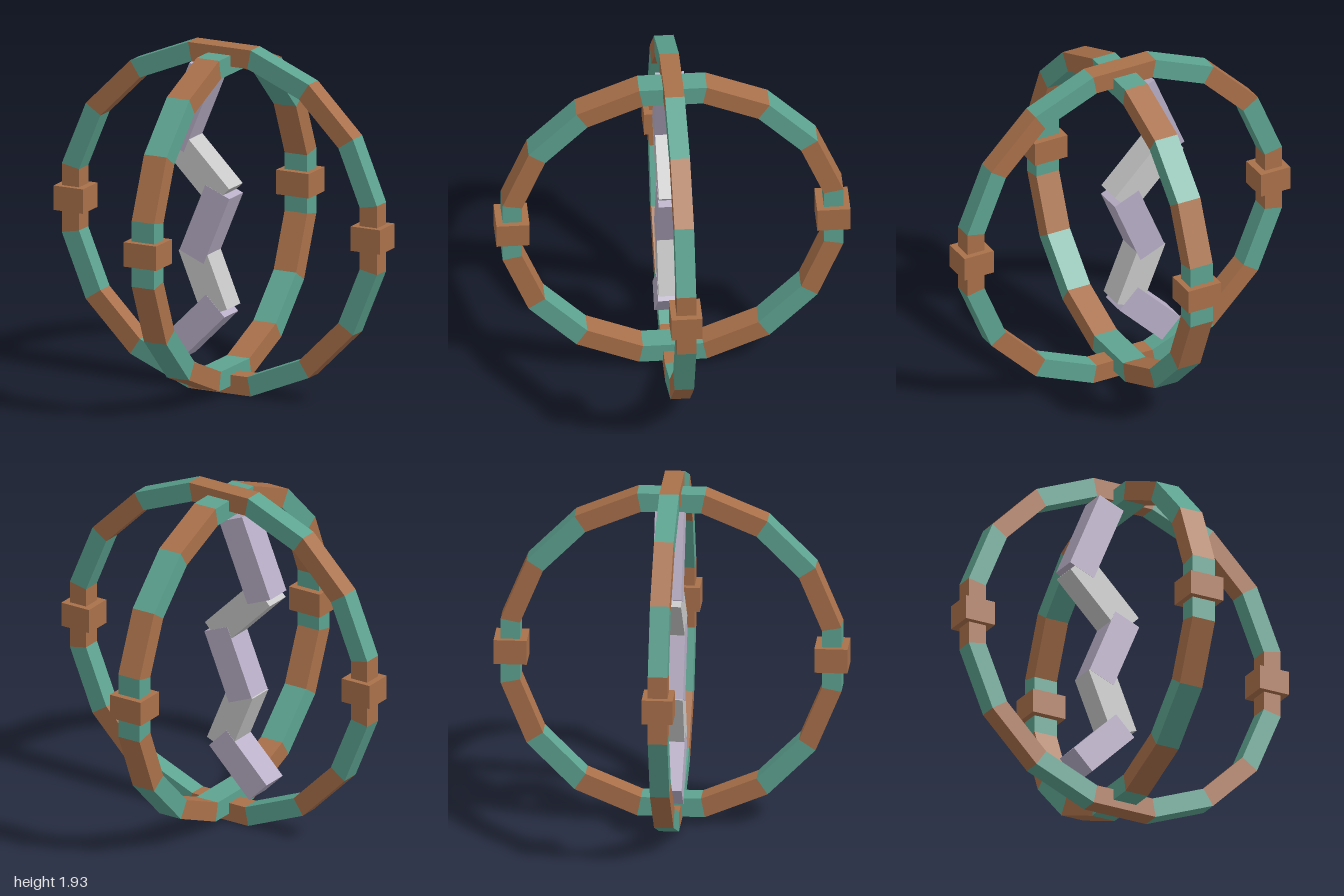
import * as THREE from 'three';

const copper = new THREE.MeshStandardMaterial({ color: 0xa9704a });
copper.name = 'copper';
const verdigris = new THREE.MeshStandardMaterial({ color: 0x5da390 });
verdigris.name = 'verdigris';
const lilac = new THREE.MeshStandardMaterial({ color: 0xb8aec6 });
lilac.name = 'lilac';
const grey = new THREE.MeshStandardMaterial({ color: 0xc8c8c8 });
grey.name = 'grey';

const CENTRE_Y = 0.965;
const SIDES = 16;

function box(name, w, h, d, material, x, y, z) {
  const mesh = new THREE.Mesh(new THREE.BoxGeometry(w, h, d), material);
  mesh.name = name;
  mesh.position.set(x, y, z);
  return mesh;
}

// Upright ring of mitred straight segments in two alternating colours
function ring(name, inner, outer, depth, even, odd) {
  const group = new THREE.Group();
  group.name = name;
  const t = Math.tan(Math.PI / SIDES);
  const section = new THREE.Shape([
    new THREE.Vector2(-inner * t, inner),
    new THREE.Vector2(inner * t, inner),
    new THREE.Vector2(outer * t, outer),
    new THREE.Vector2(-outer * t, outer),
  ]);
  const geometry = new THREE.ExtrudeGeometry(section, { depth, bevelEnabled: false });
  geometry.translate(0, 0, -depth / 2);
  for (let i = 0; i < SIDES; i++) {
    const segment = new THREE.Mesh(geometry, i % 2 ? odd : even);
    segment.name = 'ringSegment';
    segment.rotation.z = (i * 2 * Math.PI) / SIDES;
    group.add(segment);
  }
  group.position.y = CENTRE_Y;
  return group;
}

export function createModel() {
  const model = new THREE.Group();
  model.name = 'crossedRings';

  // Two crossed rings
  model.add(ring('outerRing', 0.86, 0.965, 0.106, copper, verdigris));
  const innerRing = ring('innerRing', 0.817, 0.922, 0.138, verdigris, copper);
  innerRing.rotation.y = Math.PI / 2;
  model.add(innerRing);

  // Blocks clasping the rings at mid height
  for (const s of [-1, 1]) {
    model.add(box('sideBlock', 0.18, 0.136, 0.168, copper, s * 0.91, 0.967, 0));
    model.add(box('endBlock', 0.2, 0.136, 0.18, copper, 0, 0.967, s * 0.868));
  }

  // Zigzag bolt: x, y, length, tilt in degrees
  const bolt = new THREE.Group();
  bolt.name = 'zigzagBolt';
  [
    [-0.187, 1.572, 0.479, -22.5],
    [-0.138, 1.244, 0.437, 45],
    [-0.078, 0.932, 0.413, -22.5],
    [-0.089, 0.621, 0.387, 22.5],
    [-0.142, 0.355, 0.368, -45],
  ].forEach(([x, y, length, tilt], i) => {
    const part = box('boltSegment', 0.16, length, i % 2 ? 0.154 : 0.157, i % 2 ? grey : lilac, x, y, 0);
    part.rotation.z = THREE.MathUtils.degToRad(tilt);
    bolt.add(part);
  });
  model.add(bolt);

  return model;
}
